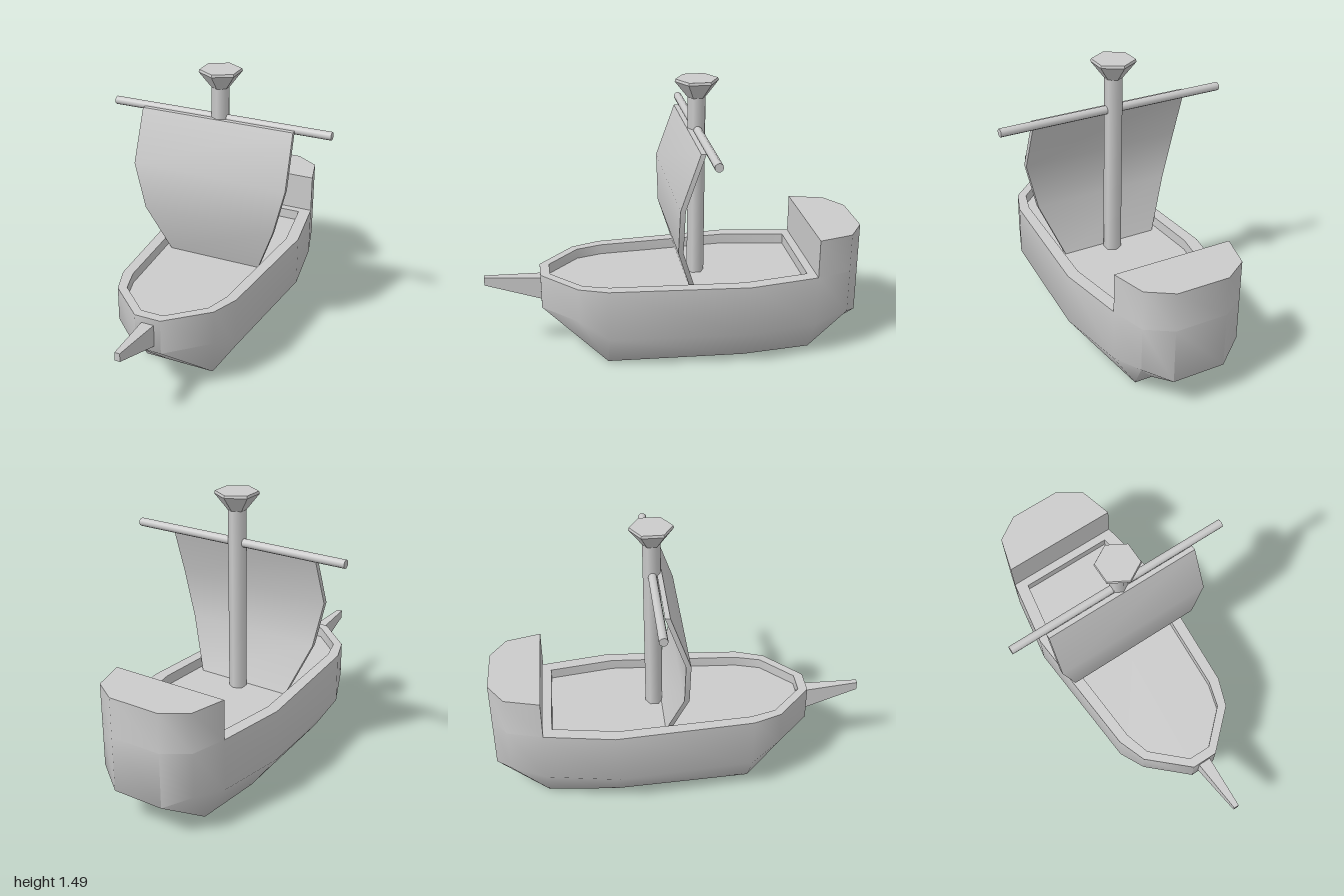
import * as THREE from 'three';
import { toCreasedNormals } from 'three/addons/utils/BufferGeometryUtils.js';

const CREASE = Math.PI / 3;
const DECK = 0.42, RAIL = 0.475, CASTLE = 0.685;
const MAST_Z = -0.13, HULL_X = -0.005;

// Half outlines from bow to stern, as [half width, y, z]
const OUTER = [[0.07, 0.705], [0.27, 0.52], [0.325, 0.37], [0.38, -0.36], [0.32, -0.73], [0.27, -0.915], [0.14, -1]];
const INNER = [[0.06, 0.655], [0.23, 0.495], [0.27, 0.36], [0.315, -0.34], [0.26, -0.685], [0.2, -0.685], [0.1, -0.685]];
const KEEL = [[0.07, 0.37], [0.195, 0.37], [0.195, 0.37], [0.23, -0.36], [0.195, -0.73], [0.195, -0.73], [0.1, -0.73]];
const CHINE_Y = [0.285, 0.29, 0.2, 0.2, 0.2, 0.24, 0.18];

// Mirror a half outline into a closed ring; y is a number or a list per station
function ring(half, y) {
  const pts = half.map(([x, z], i) => new THREE.Vector3(x, Array.isArray(y) ? y[i] : y, z));
  const mirrored = pts.map(p => new THREE.Vector3(-p.x, p.y, p.z)).reverse();
  return [...pts, ...mirrored];
}

// Skin consecutive rings with triangles, skipping collapsed ones
function loft(rings) {
  const pos = [];
  const tri = (a, b, c) => {
    if (a.equals(b) || b.equals(c) || c.equals(a)) return;
    for (const p of [a, b, c]) pos.push(p.x, p.y, p.z);
  };
  for (let r = 0; r < rings.length - 1; r++) {
    const A = rings[r], B = rings[r + 1];
    for (let i = 0; i < A.length; i++) {
      const j = (i + 1) % A.length;
      tri(A[i], B[i], B[j]);
      tri(A[i], B[j], A[j]);
    }
  }
  const geo = new THREE.BufferGeometry();
  geo.setAttribute('position', new THREE.Float32BufferAttribute(pos, 3));
  return toCreasedNormals(geo, CREASE);
}

// Box whose corners are moved by a rule
function shapedBox(sx, sy, sz, rule) {
  const geo = new THREE.BoxGeometry(1, 1, 1, sx, sy, sz);
  const p = geo.attributes.position, v = new THREE.Vector3();
  for (let i = 0; i < p.count; i++) {
    rule(v.fromBufferAttribute(p, i));
    p.setXYZ(i, v.x, v.y, v.z);
  }
  return toCreasedNormals(geo, CREASE);
}

export function createModel() {
  const group = new THREE.Group();
  const material = new THREE.MeshStandardMaterial({ color: 0xcccccc });
  const add = (name, geo, x = 0, y = 0, z = 0) => {
    const mesh = new THREE.Mesh(geo, material);
    mesh.name = name;
    mesh.position.set(x, y, z);
    group.add(mesh);
    return mesh;
  };

  // Hull: sunken deck, rail, side, chine and flat bottom
  const centre = y => ring(INNER.map(() => [0, 0]), y);
  add('hull', loft([
    centre(DECK), ring(INNER, DECK), ring(INNER, RAIL),
    ring(OUTER, RAIL), ring(OUTER, CHINE_Y), ring(KEEL, 0), centre(0),
  ]), HULL_X);

  // Raised stern block on the rear part of the outline
  const sternRing = OUTER.slice(4);
  const outline = [...sternRing, ...sternRing.map(([x, z]) => [-x, z]).reverse()];
  const stern = new THREE.ExtrudeGeometry(
    new THREE.Shape(outline.map(([x, z]) => new THREE.Vector2(x, z))),
    { depth: CASTLE - RAIL, bevelEnabled: false });
  stern.rotateX(Math.PI / 2);
  add('sternCastle', toCreasedNormals(stern, CREASE), HULL_X, CASTLE);

  // Bowsprit tapering forward
  add('bowsprit', shapedBox(1, 1, 1, v => {
    const tip = v.z > 0, top = v.y > 0;
    v.set(Math.sign(v.x) * (tip ? 0.014 : 0.035),
      tip ? (top ? 0.455 : 0.41) : (top ? 0.44 : 0.315),
      tip ? 1 : 0.69);
  }), HULL_X);

  // Mast with flared lookout
  const mastHeight = 1.4 - DECK;
  add('mast', new THREE.CylinderGeometry(0.046, 0.046, mastHeight, 6), 0, DECK + mastHeight / 2, MAST_Z);
  const nest = [[0, 1.39], [0.048, 1.39], [0.113, 1.472], [0.109, 1.485], [0, 1.485]];
  add('lookout', toCreasedNormals(new THREE.LatheGeometry(
    nest.map(([r, y]) => new THREE.Vector2(r, y)), 6), 0.7), 0, 0, MAST_Z);

  // Yard across the mast
  const yard = new THREE.CylinderGeometry(0.022, 0.022, 1.225, 10);
  yard.rotateZ(Math.PI / 2);
  add('yard', yard, -0.003, 1.222, MAST_Z);

  // Billowing sail: rows of [y, half width, front z] from bottom to top
  const rows = [[DECK, 0.262, -0.065], [0.69, 0.372, 0.02], [0.94, 0.432, 0.02], [1.225, 0.425, -0.08]];
  add('sail', shapedBox(1, 3, 1, v => {
    const [y, w, z] = rows[Math.round((v.y + 0.5) * 3)];
    v.set(Math.sign(v.x) * w, y, v.z > 0 ? z : z - 0.026);
  }), HULL_X);

  return group;
}
